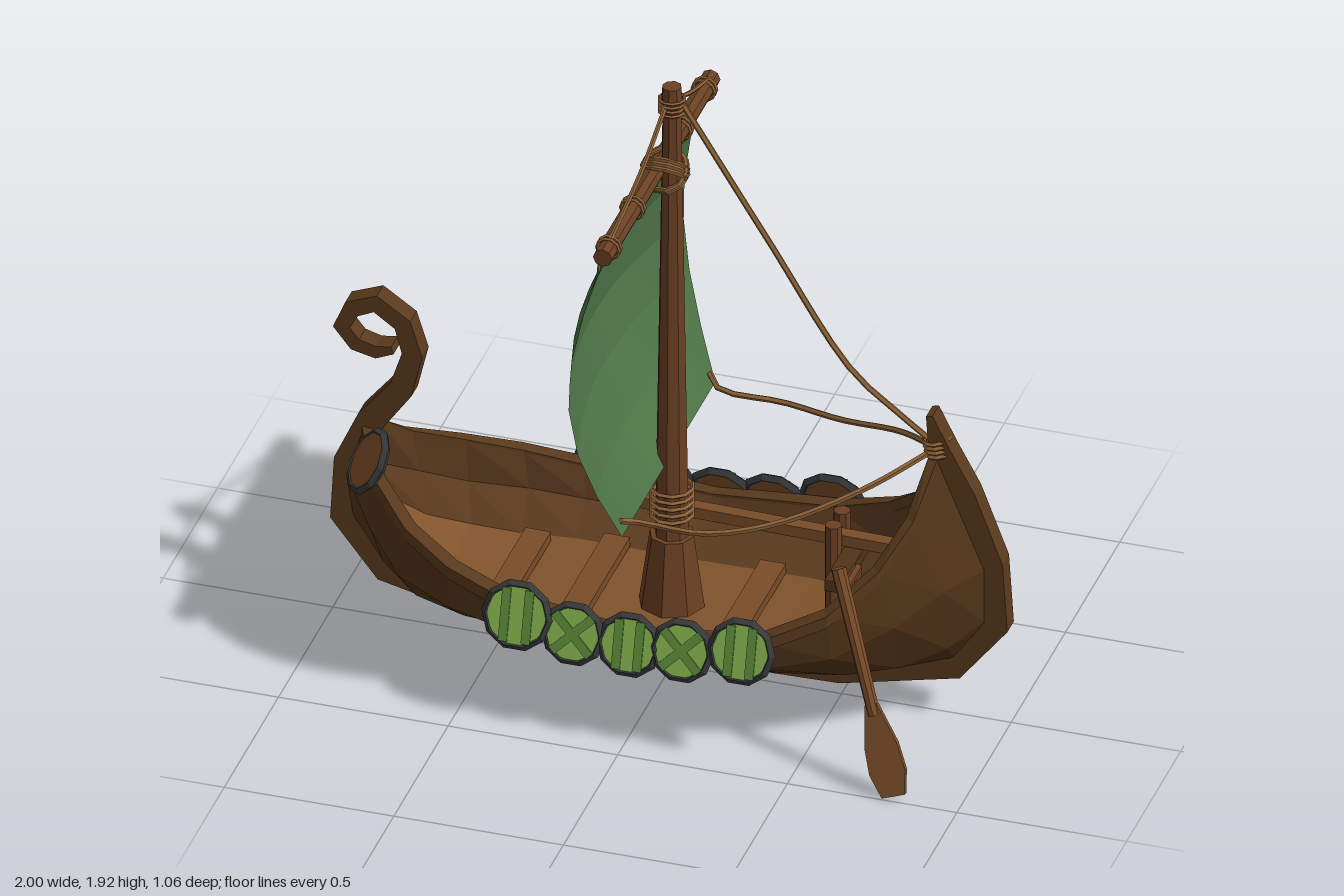
import * as THREE from 'three';

const V = (x, y, z) => new THREE.Vector3(x, y, z);
const mat = (color) => new THREE.MeshStandardMaterial({ color, flatShading: true, side: THREE.DoubleSide });
const M = {
  hull: mat(0x523418), stem: mat(0x5a3a1d), side: mat(0x5c3b1f), floor: mat(0x80532c), wood: mat(0x7a4c28),
  mast: mat(0x6b4023), rope: mat(0x8a6036), sail: mat(0x4d7346), rim: mat(0x36383a),
  light: mat(0x82b04c), dark: mat(0x5a8a38),
};

export function createModel() {
  const root = new THREE.Group();
  const add = (name, geo, material, parent = root) => {
    const m = new THREE.Mesh(geo, material);
    m.name = name;
    parent.add(m);
    return m;
  };
  const box = (name, size, pos, material, parent = root) => {
    const m = add(name, new THREE.BoxGeometry(...size), material, parent);
    m.position.set(...pos);
    return m;
  };
  // Tapered rod between two points
  const rod = (name, a, b, r0, r1, material, sides = 8) => {
    const m = add(name, new THREE.CylinderGeometry(r1, r0, a.distanceTo(b), sides), material);
    m.position.copy(a).lerp(b, 0.5);
    m.quaternion.setFromUnitVectors(V(0, 1, 0), b.clone().sub(a).normalize());
    return m;
  };
  const rope = (name, pts, r = 0.009) => add(name,
    new THREE.TubeGeometry(new THREE.CatmullRomCurve3(pts), pts.length * 3, r, 5), M.rope);
  // Rope coil around an axis
  const coil = (name, pos, axis, r, count, gap, tube = 0.007) => {
    for (let i = 0; i < count; i++) {
      const m = add(name, new THREE.TorusGeometry(r, tube, 4, 10), M.rope);
      m.quaternion.setFromUnitVectors(V(0, 0, 1), axis);
      m.position.copy(pos).addScaledVector(axis, (i - (count - 1) / 2) * gap);
    }
  };
  // Skin over rows of points, with its mirror image across z
  const loft = (name, rows, material) => {
    const p = [];
    for (const s of [1, -1]) for (let i = 0; i < rows.length - 1; i++) for (let j = 0; j < rows[i].length - 1; j++) {
      const [a, b, c, d] = [rows[i][j], rows[i][j + 1], rows[i + 1][j + 1], rows[i + 1][j]];
      for (const q of s > 0 ? [a, b, c, a, c, d] : [a, c, b, a, d, c]) p.push(q.x, q.y, q.z * s);
    }
    const g = new THREE.BufferGeometry();
    g.setAttribute('position', new THREE.Float32BufferAttribute(p, 3));
    g.computeVertexNormals();
    return add(name, g, material);
  };

  // Hull lines from bow to stern: gunwale, side, bilge, keel
  const line = (a) => a.map((q) => V(...q));
  const gunwale = line([[-.9, .62, .03], [-.83, .53, .14], [-.7, .46, .26], [-.55, .41, .34], [-.38, .37, .385], [0, .33, .41],
    [.38, .37, .39], [.56, .45, .33], [.68, .56, .23], [.75, .68, .13], [.79, .84, .03]]);
  const side = line([[-.95, .46, .03], [-.84, .38, .16], [-.72, .31, .27], [-.55, .28, .34], [-.38, .26, .37], [0, .25, .385],
    [.38, .27, .37], [.57, .31, .32], [.73, .39, .23], [.84, .47, .13], [.93, .5, .03]]);
  const bilge = line([[-.93, .33, .03], [-.82, .24, .1], [-.7, .19, .17], [-.55, .17, .2], [-.38, .17, .22], [0, .16, .23],
    [.38, .17, .22], [.57, .18, .19], [.72, .21, .15], [.84, .26, .09], [.93, .33, .03]]);
  const keel = line([[-.92, .3, .02], [-.82, .18, .02], [-.7, .15, .02], [-.55, .12, .02], [-.38, .1, .02], [0, .1, .02],
    [.38, .1, .02], [.57, .12, .02], [.72, .15, .02], [.84, .19, .02], [.92, .3, .02]]);
  const shift = (row, sx, dy, sz) => row.map((q) => V(q.x * sx, q.y + dy, q.z * sz));
  loft('hull', [gunwale, side, bilge, keel], M.hull);
  const inner = shift(gunwale, 0.97, 0, 0.9);
  const innerBilge = shift(bilge, 0.92, 0.05, 0.95);
  loft('gunwaleRim', [shift(gunwale, 1.005, -0.03, 1.02), shift(gunwale, 1.005, 0.008, 1.02),
    shift(inner, 1, 0.008, 1), shift(inner, 1, -0.03, 1)], M.stem);
  loft('innerSides', [inner, shift(side, 0.94, 0.02, 0.88), innerBilge], M.side);
  loft('floor', [innerBilge, shift(innerBilge, 1, -0.01, 0)], M.floor);

  // Keel with curled bow and pointed stern: centre line x, y and half width
  const stem = [[-.815, .895, .012], [-.865, .88, .02], [-.925, .895, .022], [-.965, .945, .025], [-.935, 1.01, .027],
    [-.865, 1.04, .028], [-.785, .985, .028], [-.757, .89, .03], [-.79, .77, .035], [-.88, .65, .04], [-.945, .5, .043],
    [-.96, .32, .04], [-.84, .165, .04], [-.5, .085, .04], [0, .075, .04], [.5, .085, .04], [.84, .165, .04],
    [.96, .32, .04], [.945, .52, .04], [.865, .73, .04], [.8, .86, .035], [.768, .98, .01]];
  const left = [], right = [];
  stem.forEach(([x, y, h], i) => {
    const p = stem[Math.max(i - 1, 0)], n = stem[Math.min(i + 1, stem.length - 1)];
    const t = new THREE.Vector2(n[0] - p[0], n[1] - p[1]).normalize();
    left.push(new THREE.Vector2(x - t.y * h, y + t.x * h));
    right.unshift(new THREE.Vector2(x + t.y * h, y - t.x * h));
  });
  add('keelAndStems', new THREE.ExtrudeGeometry(new THREE.Shape([...left, ...right]), { depth: 0.06, bevelEnabled: false })
    .translate(0, 0, -0.03), M.stem);
  coil('sternLashing', V(0.785, 0.87, 0), V(-0.2, 0.98, 0).normalize(), 0.037, 4, 0.014);

  // Thwarts, long spare spar and its crutch
  for (const [x, w] of [[-0.45, 0.35], [-0.23, 0.43], [0.23, 0.43]]) box('thwart', [0.075, 0.03, w], [x, 0.235, 0], M.wood);
  box('spareSpar', [0.86, 0.035, 0.04], [0.21, 0.465, -0.08], M.wood).rotation.set(0, -0.015, -0.01);
  box('crutchBar', [0.055, 0.035, 0.26], [0.515, 0.42, -0.01], M.hull);
  box('crutchPost', [0.05, 0.24, 0.06], [0.515, 0.31, -0.03], M.mast);
  for (const z of [-0.12, -0.04]) rod('crutchPeg', V(0.46, 0.22, z - 0.01), V(0.46, 0.515, z - 0.01), 0.025, 0.025, M.mast);

  // Mast
  rod('mastFoot', V(0, 0.18, 0), V(0, 0.43, 0), 0.1, 0.065, M.mast);
  rod('mast', V(0, 0.4, 0), V(0, 1.88, 0), 0.05, 0.027, M.mast);
  rod('mastCap', V(0, 1.85, 0), V(0, 1.91, 0), 0.032, 0.028, M.mast);
  coil('mastFootLashing', V(0, 0.54, 0), V(0, 1, 0), 0.06, 5, 0.022);
  coil('mastHeadLashing', V(0, 1.85, 0), V(0, 1, 0), 0.036, 4, 0.014, 0.005);

  // Yard with crossed lashing and sail ties
  rod('yard', V(-0.045, 1.63, -0.5), V(-0.045, 1.63, 0.5), 0.028, 0.028, M.mast);
  for (const s of [1, -1]) {
    coil('yardCrossLashing', V(-0.02, 1.63, 0), V(0, 0.7, 0.7 * s).normalize(), 0.064, 3, 0.014);
    for (const z of [0.22, 0.44]) {
      coil('yardTie', V(-0.045, 1.63, z * s), V(0, 0, 1), 0.033, 2, 0.018, 0.005);
      rod('tieEnd', V(-0.07, 1.63, z * s), V(-0.075, 1.545, z * s), 0.005, 0.005, M.rope, 5);
    }
    rope('yardLift', [V(-0.01, 1.87, 0), V(-0.02, 1.76, 0.2 * s), V(-0.04, 1.655, 0.45 * s)], 0.007);
    rope('sailSheet', [V(-0.02, 0.71, 0.41 * s), V(0.02, 0.69, 0.37 * s), V(0.21, 0.685, 0.365 * s), V(0.4, 0.71, 0.29 * s),
      V(0.62, 0.79, 0.16 * s), V(0.78, 0.86, 0)]);
  }
  rope('backstay', [V(0.03, 1.86, 0), V(0.28, 1.46, 0), V(0.53, 1.07, 0), V(0.66, 0.96, 0), V(0.78, 0.87, 0)]);

  // Billowing sail
  const sail = new THREE.PlaneGeometry(2, 1, 8, 6);
  const sp = sail.attributes.position;
  for (let i = 0; i < sp.count; i++) {
    const s = sp.getX(i), t = 0.5 - sp.getY(i), b = Math.sin(Math.PI * t);
    sp.setXYZ(i, -0.06 + 0.05 * t - (0.1 + 0.09 * (1 - s * s)) * b, 1.58 - 0.91 * t, s * (0.45 - 0.02 * t + 0.09 * b));
  }
  sail.computeVertexNormals();
  add('sail', sail, M.sail);

  // Round shields: dark rim, wooden back, painted front with stripes or a cross
  const shield = (pos, normal, r, cross) => {
    const g = new THREE.Group();
    g.name = 'shield';
    add('shieldRim', new THREE.TorusGeometry(r - 0.013, 0.014, 4, 10), M.rim, g);
    const disc = (name, z, material) => add(name,
      new THREE.CylinderGeometry(r - 0.015, r - 0.015, 0.01, 10).rotateX(Math.PI / 2).translate(0, 0, z), material, g);
    disc('shieldBack', -0.005, M.wood);
    disc('shieldFront', 0.005, M.light);
    for (const k of [-1, 1]) {
      const bar = box('shieldStripe', [0.026, r * (cross ? 1.65 : 1.5), 0.006], [cross ? 0 : k * r * 0.32, 0, 0.011], M.dark, g);
      if (cross) bar.rotation.z = k * Math.PI / 4;
    }
    g.position.copy(pos);
    g.quaternion.setFromUnitVectors(V(0, 0, 1), normal.normalize());
    root.add(g);
  };
  const spots = [[-0.32, 0.35, 0.105], [-0.155, 0.32, 0.095], [0.01, 0.315, 0.097], [0.165, 0.325, 0.095], [0.34, 0.355, 0.1]];
  for (const s of [1, -1]) spots.forEach(([x, y, r], i) => shield(V(x, y, 0.425 * s), V(0, 0.28, 0.96 * s), r, i % 2 === 1));
  shield(V(-0.85, 0.585, 0.135), V(0.7, -0.5, -0.44), 0.1, false);

  // Steering oar with flat blade, and its pin
  const top = V(0.59, 0.61, 0.31), tip = V(0.81, 0.01, 0.49);
  rod('oarShaft', top, top.clone().lerp(tip, 0.65), 0.022, 0.018, M.wood);
  const outline = [[-.018, 0], [-.05, -.12], [-.055, -.2], [-.035, -.27], [.035, -.27], [.055, -.2], [.05, -.12], [.018, 0]];
  const blade = add('oarBlade', new THREE.ExtrudeGeometry(new THREE.Shape(outline.map((q) => new THREE.Vector2(...q))),
    { depth: 0.016, bevelEnabled: false }).translate(0, 0, -0.008), M.wood);
  blade.position.copy(top).lerp(tip, 0.6);
  blade.quaternion.setFromUnitVectors(V(0, -1, 0), tip.clone().sub(top).normalize());
  rod('oarPin', V(0.61, 0.55, 0.2), V(0.61, 0.55, 0.33), 0.015, 0.015, M.mast, 6);
  return root;
}
